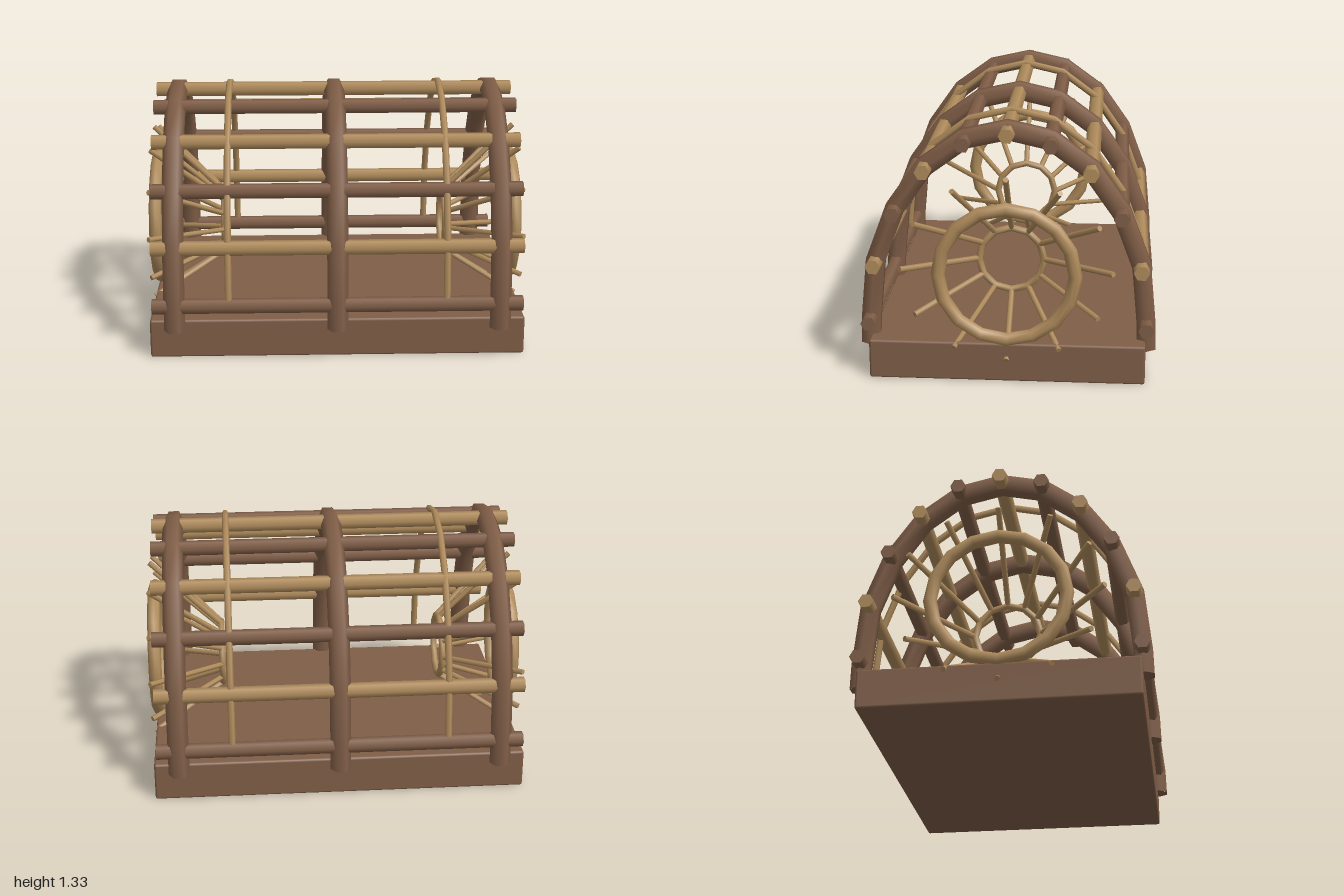
import * as THREE from 'three';
import { RoundedBoxGeometry } from 'three/addons/geometries/RoundedBoxGeometry.js';

const material = (name, color) => Object.assign(new THREE.MeshStandardMaterial({ color }), { name });

// Polyline curve whose rings sit exactly on its corner points
class BentRod extends THREE.Curve {
  constructor(points) { super(); this.points = points; }
  getPointAt(u, target = new THREE.Vector3()) {
    const n = this.points.length - 1;
    return target.copy(this.points[Math.round(u * n)]);
  }
  getPoint(t, target) { return this.getPointAt(t, target); }
  getTangentAt(u, target = new THREE.Vector3()) {
    const p = this.points, n = p.length - 1, i = Math.round(u * n);
    const dir = (a, b) => new THREE.Vector3().subVectors(p[b], p[a]).normalize();
    target.set(0, 0, 0);
    if (i > 0) target.add(dir(i - 1, i));
    if (i < n) target.add(dir(i, i + 1));
    return target.normalize();
  }
}

// Half arch as [z, y], from the foot to the crown
const HALF_ARCH = [[0.703, 0.15], [0.7, 0.285], [0.67, 0.595], [0.567, 0.87], [0.412, 1.09], [0.213, 1.235], [0, 1.283]];

function archPoints(half, scaleZ = 1, scaleY = 1) {
  const other = half.slice(0, -1).reverse().map(([z, y]) => [-z, y]);
  return [...half, ...other].map(([z, y]) => new THREE.Vector3(0, y * scaleY, z * scaleZ));
}

export function createModel() {
  const brown = material('brown wood', 0x805e47);
  const tan = material('tan wood', 0xb08c5c);
  const model = new THREE.Group();
  model.name = 'arched trap';

  function add(parent, name, geometry, mat, x = 0, y = 0, z = 0) {
    const mesh = new THREE.Mesh(geometry, mat);
    mesh.name = name;
    mesh.position.set(x, y, z);
    parent.add(mesh);
    return mesh;
  }

  function rodBetween(parent, name, a, b, radius, sides, mat) {
    const dir = new THREE.Vector3().subVectors(b, a);
    const mesh = add(parent, name, new THREE.CylinderGeometry(radius, radius, dir.length(), sides), mat);
    mesh.position.addVectors(a, b).multiplyScalar(0.5);
    mesh.quaternion.setFromUnitVectors(new THREE.Vector3(0, 1, 0), dir.normalize());
    return mesh;
  }

  // Floor slab
  add(model, 'base', new RoundedBoxGeometry(1.956, 0.205, 1.396, 1, 0.012), brown, 0, 0.1025, 0);

  // Three thick bent hoops with capped feet
  const hoopPath = new BentRod(archPoints(HALF_ARCH));
  const hoopGeometry = new THREE.TubeGeometry(hoopPath, hoopPath.points.length - 1, 0.055, 6);
  const capGeometry = new THREE.CircleGeometry(0.055, 6).rotateX(Math.PI / 2);
  for (const x of [-0.848, 0, 0.848]) {
    add(model, 'hoop', hoopGeometry, brown, x);
    for (const side of [-1, 1]) add(model, 'hoopFoot', capGeometry, brown, x, 0.15, side * 0.703);
  }

  // Two thin hoops between the thick ones
  const thinPath = new BentRod(archPoints(HALF_ARCH.slice(1), 1.008, 1.026));
  const thinGeometry = new THREE.TubeGeometry(thinPath, thinPath.points.length - 1, 0.018, 6);
  for (const x of [-0.567, 0.567]) add(model, 'thinHoop', thinGeometry, tan, x);

  // Lengthwise rails in alternating woods
  const railGeometry = new THREE.CylinderGeometry(0.04, 0.04, 1.926, 6).rotateZ(Math.PI / 2);
  const rails = [[0.7, 0.285], [0.67, 0.59], [0.567, 0.865], [0.412, 1.087], [0.215, 1.228], [0, 1.277]];
  rails.forEach(([z, y], i) => {
    for (const side of z ? [-1, 1] : [1]) add(model, 'rail', railGeometry, i % 2 ? tan : brown, 0, y, side * z);
  });

  // Entrance funnel at each end: outer ring, inner ring and splayed spokes
  const outerRing = new THREE.TorusGeometry(0.343, 0.035, 8, 16).rotateY(Math.PI / 2);
  const innerRing = new THREE.TorusGeometry(0.17, 0.019, 6, 12).rotateY(Math.PI / 2);
  for (const end of [-1, 1]) {
    const funnel = new THREE.Group();
    funnel.name = end > 0 ? 'leftFunnel' : 'rightFunnel';
    model.add(funnel);
    add(funnel, 'outerRing', outerRing, tan, end * 0.965, 0.567, 0);
    add(funnel, 'innerRing', innerRing, tan, end * 0.607, 0.527, 0);
    for (let i = 0; i < 12; i++) {
      const a = i * Math.PI / 6, s = Math.sin(a), c = Math.cos(a);
      const inner = new THREE.Vector3(end * 0.607, 0.527 + 0.17 * c, 0.17 * s);
      const outer = new THREE.Vector3(end * 0.985, 0.592 + 0.475 * c, 0.53 * s);
      rodBetween(funnel, 'spoke', inner, outer, 0.015, 6, tan);
    }
  }
  return model;
}
